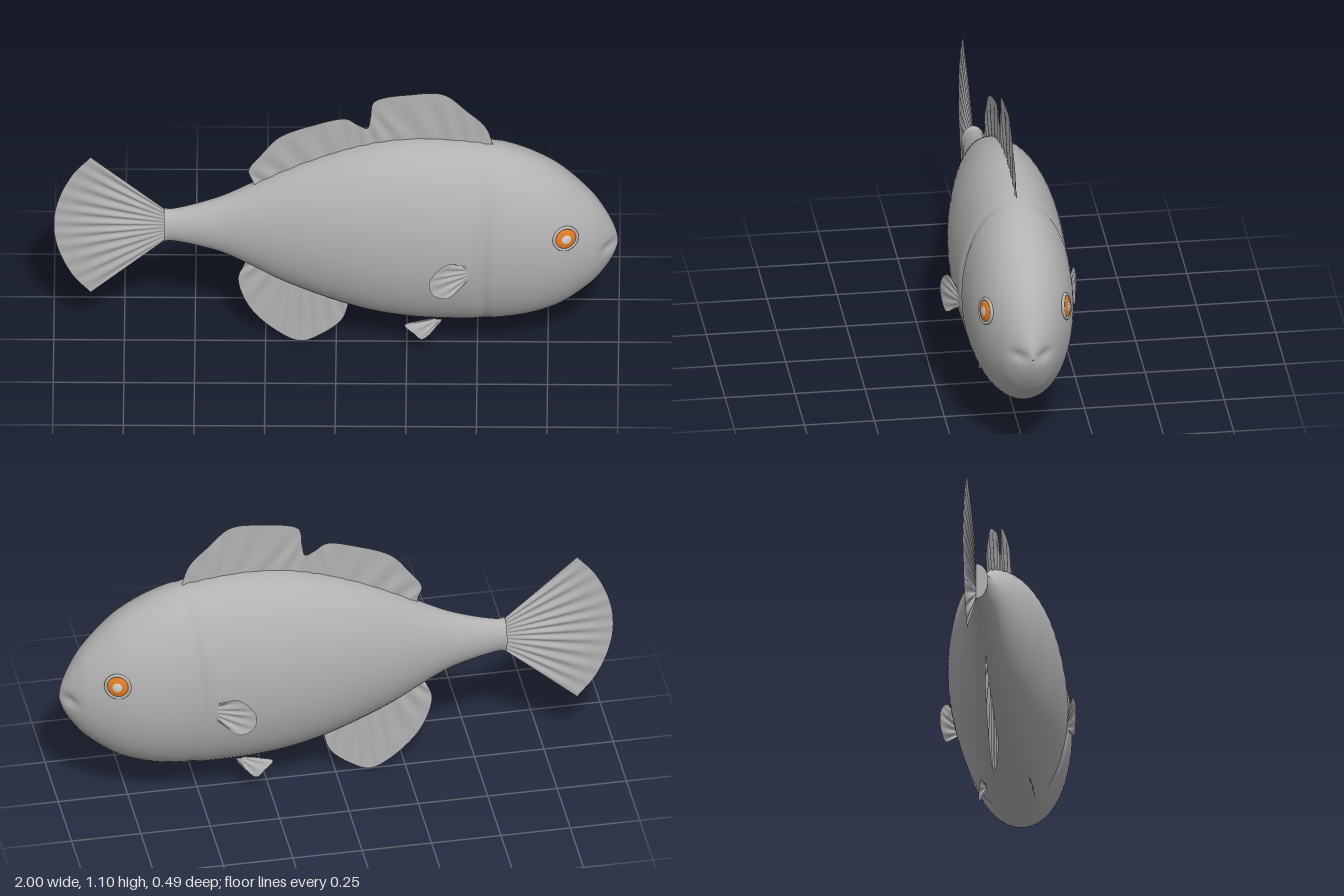
import * as THREE from 'three';

const skin = new THREE.MeshStandardMaterial({ color: 0xb2b2b2 });
skin.name = 'skinGrey';
const finSkin = new THREE.MeshStandardMaterial({ color: 0xb2b2b2, side: THREE.DoubleSide });
finSkin.name = 'finGrey';
const orange = new THREE.MeshStandardMaterial({ color: 0xe07a1c });
orange.name = 'irisOrange';
const pale = new THREE.MeshStandardMaterial({ color: 0xcccccc });
pale.name = 'pupilGrey';

// Body stations: x, top, bottom, half width
const STATIONS = [
  [-0.61, 0.585, 0.45, 0.043], [-0.58, 0.583, 0.453, 0.041], [-0.5, 0.603, 0.437, 0.052],
  [-0.4, 0.64, 0.405, 0.068], [-0.3, 0.693, 0.352, 0.092], [-0.2, 0.75, 0.295, 0.12],
  [-0.1, 0.8, 0.25, 0.147], [0, 0.842, 0.21, 0.169], [0.1, 0.875, 0.177, 0.187],
  [0.2, 0.896, 0.155, 0.198], [0.3, 0.904, 0.142, 0.202], [0.4, 0.9, 0.137, 0.201],
  [0.5, 0.889, 0.137, 0.197], [0.6, 0.868, 0.145, 0.194], [0.7, 0.828, 0.166, 0.184],
  [0.8, 0.765, 0.208, 0.158], [0.9, 0.665, 0.285, 0.108], [0.95, 0.592, 0.345, 0.069],
  [0.98, 0.532, 0.395, 0.036], [0.995, 0.488, 0.435, 0.014], [1, 0.462, 0.458, 0.001],
];

function mesh(name, geometry, material) {
  const m = new THREE.Mesh(geometry, material);
  m.name = name;
  return m;
}

function grid(positions, indices) {
  const g = new THREE.BufferGeometry();
  g.setAttribute('position', new THREE.Float32BufferAttribute(positions, 3));
  g.setIndex(indices);
  g.computeVertexNormals();
  return g;
}

// Oval rings lofted along x, with the gill groove and mouth dimples pressed in
function bodyGeometry() {
  const spline = (f) => new THREE.CatmullRomCurve3(STATIONS.map(f), false, 'catmullrom', 0.5);
  const outline = spline((s) => new THREE.Vector3(s[0], s[1], s[2]));
  const width = spline((s) => new THREE.Vector3(s[0], s[3], 0));
  const rows = (STATIONS.length - 1) * 12, cols = 64;
  const pos = [], idx = [];
  for (let i = 0; i <= rows; i++) {
    const o = outline.getPoint(i / rows), w = width.getPoint(i / rows).y;
    const mid = (o.y + o.z) / 2, half = (o.y - o.z) / 2;
    for (let j = 0; j < cols; j++) {
      const a = (j / cols) * Math.PI * 2;
      let x = o.x, y = mid + half * Math.cos(a), z = w * Math.sin(a);
      const d = x - (0.515 + 0.22 * (y - 0.42) ** 2);
      const groove = 0.05 * Math.exp(-((d / 0.02) ** 2)) * Math.abs(Math.sin(a));
      y = mid + (y - mid) * (1 - groove * 0.5);
      z *= 1 - groove;
      if (x > 0.85) {
        const dy = (y - 0.465) / 0.022, dz = (Math.abs(z) - 0.045) / 0.03;
        x -= 0.015 * Math.exp(-dy * dy - dz * dz);
      }
      pos.push(x, y, z);
      if (i < rows) {
        const k = (j + 1) % cols, p = i * cols + j, q = i * cols + k;
        idx.push(p, q, p + cols, q, q + cols, p + cols);
      }
    }
  }
  return grid(pos, idx);
}

// Thin fin spanning a root curve and a tip curve, rippled by its rays
function fin(name, root, tip, rays, ripple) {
  const curve = (pts) => new THREE.CatmullRomCurve3(
    pts.map(([x, y, z = 0]) => new THREE.Vector3(x, y, z)), false, 'centripetal');
  const a = curve(root), b = curve(tip), cols = Math.max(48, rays * 8), rows = 8;
  const pos = [], idx = [];
  for (let i = 0; i <= cols; i++) {
    const p = a.getPoint(i / cols), q = b.getPoint(i / cols);
    for (let j = 0; j <= rows; j++) {
      const v = j / rows, r = p.clone().lerp(q, v);
      const fade = Math.sin(Math.PI * Math.min(v, 0.97));
      pos.push(r.x, r.y, r.z + ripple * fade * Math.sin((i / cols) * rays * Math.PI * 2));
      if (i < cols && j < rows) {
        const n = i * (rows + 1) + j, m = n + rows + 1;
        idx.push(n, m, n + 1, m, m + 1, n + 1);
      }
    }
  }
  return mesh(name, grid(pos, idx), finSkin);
}

// Shallow domed eye with lid ring, iris and pupil, facing local +z
function eye(name, side) {
  const g = new THREE.Group();
  g.name = name;
  const lid = mesh('eyelid', new THREE.TorusGeometry(0.043, 0.006, 10, 40), skin);
  const dome = (r0, r1, z0, z1) => {
    const pts = [];
    for (let i = 0; i <= 6; i++) {
      const t = i / 6;
      pts.push(new THREE.Vector2(r0 + (r1 - r0) * t, z0 + (z1 - z0) * t * (2 - t)));
    }
    return new THREE.LatheGeometry(pts, 40).rotateX(Math.PI / 2);
  };
  g.add(lid,
    mesh('iris', dome(0.041, 0.017, 0.001, 0.01), orange),
    mesh('pupil', dome(0.0175, 0, 0.0095, 0.012), pale));
  g.position.set(0.813, 0.573, side * 0.144);
  const normal = new THREE.Vector3(0.38, 0.17, side).normalize();
  g.quaternion.setFromUnitVectors(new THREE.Vector3(0, 0, 1), normal);
  return g;
}

export function createModel() {
  const fish = new THREE.Group();
  fish.name = 'fish';
  fish.add(mesh('body', bodyGeometry(), skin));

  // Flat end of the tail stalk
  const cap = mesh('tailStalkEnd', new THREE.CircleGeometry(1, 48), skin);
  cap.scale.set(0.043, 0.0675, 1);
  cap.rotation.y = -Math.PI / 2;
  cap.position.set(-0.61, 0.5175, 0);
  fish.add(cap);

  // Fins on the centre line
  fish.add(fin('tailFin',
    [[-0.6, 0.58], [-0.6, 0.517], [-0.6, 0.455]],
    [[-0.87, 0.815], [-0.935, 0.735], [-0.985, 0.62], [-1, 0.515], [-0.985, 0.41], [-0.935, 0.295], [-0.87, 0.215]],
    11, 0.004));
  fish.add(fin('dorsalFin',
    [[-0.29, 0.67], [-0.15, 0.74], [0, 0.81], [0.12, 0.85], [0.3, 0.87], [0.45, 0.86], [0.56, 0.84]],
    [[-0.295, 0.71], [-0.31, 0.76], [-0.265, 0.83], [-0.2, 0.908], [-0.08, 0.962], [0.035, 0.99], [0.075, 0.965],
      [0.11, 0.95], [0.122, 1], [0.135, 1.067], [0.27, 1.1], [0.38, 1.1], [0.46, 1.03], [0.53, 0.955], [0.558, 0.87]],
    13, 0.003));
  fish.add(fin('analFin',
    [[-0.31, 0.38], [-0.2, 0.32], [-0.08, 0.26], [0.05, 0.21]],
    [[-0.325, 0.345], [-0.347, 0.28], [-0.305, 0.15], [-0.2, 0.04], [-0.125, 0.004], [-0.06, 0.03],
      [0.02, 0.1], [0.048, 0.19]],
    9, 0.003));

  // Paired fins and eyes; the model's left is +x, so the flanks are front and back
  for (const [label, s] of [['front', 1], ['back', -1]]) {
    fish.add(fin(label + 'PectoralFin',
      [[0.47, 0.485, s * 0.192], [0.472, 0.45, s * 0.194], [0.465, 0.415, s * 0.192]],
      [[0.46, 0.49, s * 0.2], [0.395, 0.512, s * 0.222], [0.345, 0.475, s * 0.238], [0.33, 0.44, s * 0.243],
        [0.345, 0.39, s * 0.24], [0.395, 0.368, s * 0.23], [0.455, 0.41, s * 0.202]],
      6, 0.003));
    fish.add(fin(label + 'PelvicFin',
      [[0.375, 0.165, s * 0.08], [0.36, 0.165, s * 0.082], [0.345, 0.168, s * 0.08]],
      [[0.37, 0.15, s * 0.084], [0.305, 0.088, s * 0.1], [0.275, 0.112, s * 0.098], [0.243, 0.142, s * 0.088],
        [0.3, 0.16, s * 0.082]],
      4, 0.002));
    fish.add(eye(label + 'Eye', s));
  }
  return fish;
}
